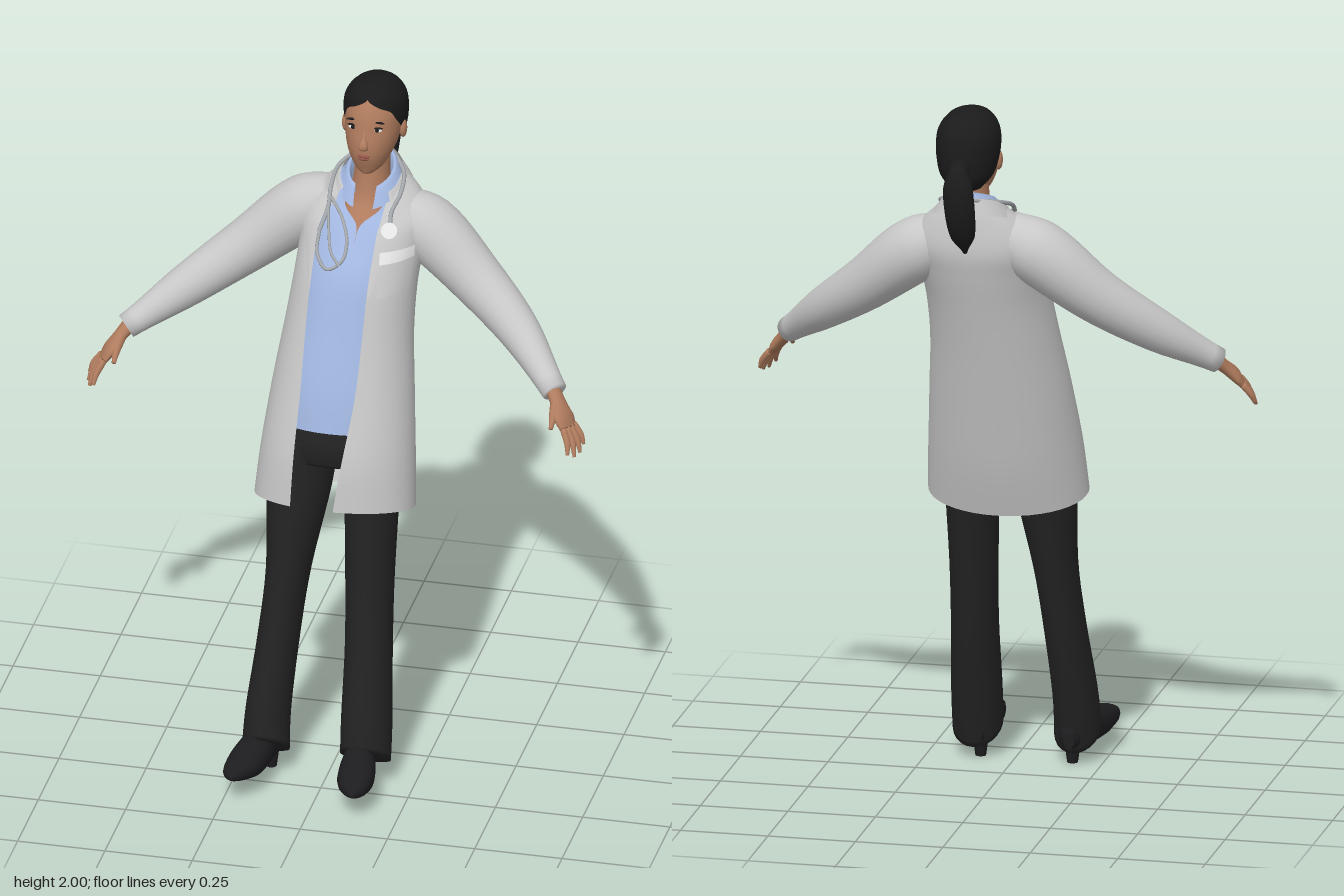
import * as THREE from 'three';

const mat = (name, color) => Object.assign(new THREE.MeshStandardMaterial({ color, side: THREE.DoubleSide }), { name });
const V = (x, y, z) => new THREE.Vector3(x, y, z);

// Surface through rows of points; closed rows wrap round
function skin(rows, closed) {
  const n = rows[0].length, cols = closed ? n : n - 1, idx = [];
  for (let i = 0; i < rows.length - 1; i++) for (let j = 0; j < cols; j++) {
    const a = i * n + j, b = i * n + (j + 1) % n;
    idx.push(a, b, b + n, a, b + n, a + n);
  }
  const g = new THREE.BufferGeometry().setFromPoints(rows.flat());
  g.setIndex(idx);
  g.computeVertexNormals();
  return g;
}

// Smooth blend between the sections of a list
function mix(S, t) {
  const i = Math.min(Math.floor(t), S.length - 2), u = t - i;
  const at = k => S[Math.max(0, Math.min(S.length - 1, k))];
  return S[i].map((p1, c) => {
    const p0 = at(i - 1)[c], p2 = at(i + 1)[c], p3 = at(i + 2)[c];
    return 0.5 * (2 * p1 + (p2 - p0) * u + (2 * p0 - 5 * p1 + 4 * p2 - p3) * u * u + (3 * p1 - p0 - 3 * p2 + p3) * u ** 3);
  });
}

// Section: [cx, y, cz, rx, rz, slope, left opening angle, right opening angle]
function loft(S, { open = false, n = 32, k = 5, cap = false } = {}) {
  const rows = [], steps = (S.length - 1) * k;
  for (let i = 0; i <= steps; i++) {
    const [cx, y, cz, rx, rz, slope = 0, aL = 0, aR = 0] = mix(S, i / k);
    const row = [];
    for (let j = 0; j < (open ? n + 1 : n); j++) {
      const a = aL + (Math.PI * 2 - aL - aR) * j / n, dz = rz * Math.cos(a);
      row.push(V(cx + rx * Math.sin(a), y + slope * dz, cz + dz));
    }
    rows.push(row);
  }
  if (cap) for (const [s, add] of [[S[0], 'unshift'], [S[S.length - 1], 'push']])
    rows[add](rows[0].map(() => V(s[0], s[1], s[2])));
  return skin(rows, !open);
}

// Point on the front of a lofted surface
function front(S, x, y, off = 0) {
  let lo = 0, hi = S.length - 1, s, dz;
  for (let i = 0; i < 24; i++) {
    const t = (lo + hi) / 2;
    s = mix(S, t);
    const q = Math.max(-0.98, Math.min(0.98, (x - s[0]) / s[3]));
    dz = s[4] * Math.sqrt(1 - q * q);
    if (s[1] + (s[5] || 0) * dz < y) lo = t; else hi = t;
  }
  return V(x, y + off * 0.4, s[2] + dz + off);
}

// Thin patch laid on a surface; rows are [x from, x to, y]
const patch = (S, list, off, n = 6) => skin(list.map(([a, b, y]) =>
  Array.from({ length: n + 1 }, (_, j) => front(S, a + (b - a) * j / n, y, off))), false);

// Rounded limb along a path, radii [across, through] at each point
function limb(pts, radii, side = V(0, 0, 1), n = 16, k = 6) {
  const c = new THREE.CatmullRomCurve3(pts.map(p => V(...p))), rows = [], last = (pts.length - 1) * k;
  for (let i = 0; i <= last; i++) {
    const t = i / last, p = c.getPoint(t), d = c.getTangent(t);
    const u = side.clone().addScaledVector(d, -side.dot(d)).normalize(), v = d.clone().cross(u);
    const [ru, rv] = mix(radii.map(r => Array.isArray(r) ? r : [r, r]), i / k);
    rows.push(Array.from({ length: n }, (_, j) => {
      const a = j / n * Math.PI * 2;
      return p.clone().addScaledVector(u, ru * Math.cos(a)).addScaledVector(v, rv * Math.sin(a));
    }));
  }
  rows.unshift(rows[0].map(() => c.getPoint(0)));
  rows.push(rows[0].map(() => c.getPoint(1)));
  return skin(rows, true);
}

export function createModel() {
  const root = new THREE.Group();
  const M = {
    skin: mat('skin', 0xb07c5e), hair: mat('black hair', 0x1b1b1c), coat: mat('coat grey', 0xc8c8c8),
    shirt: mat('shirt blue', 0xa2b7e0), trousers: mat('trouser black', 0x232324), shoe: mat('shoe black', 0x1d1d20),
    tube: mat('tube grey', 0xa4a8ac), white: mat('white', 0xe6e6e6), lips: mat('lips', 0x94574a),
  };
  const add = (name, geo, m, parent = root) => {
    const o = new THREE.Mesh(geo, m);
    o.name = name;
    parent.add(o);
    return o;
  };
  const blob = (name, m, p, s) => {
    const o = add(name, new THREE.SphereGeometry(1, 16, 12), m);
    o.position.copy(p);
    o.scale.set(...s);
    return o;
  };

  // Coat: last two numbers are the x of its two front edges
  const coat = [
    [-0.005, 0.817, 0.055, 0.228, 0.16, 0.24, 0.025, -0.1], [-0.003, 0.96, 0.024, 0.218, 0.171, 0.24, 0.045, -0.095],
    [0, 1.14, -0.028, 0.2, 0.163, 0.24, 0.068, -0.09], [0.005, 1.3, -0.075, 0.182, 0.155, 0.24, 0.075, -0.09],
    [0.015, 1.44, -0.118, 0.174, 0.148, 0.24, 0.08, -0.088], [0.025, 1.54, -0.163, 0.178, 0.132, 0.2, 0.085, -0.085],
    [0.03, 1.605, -0.19, 0.185, 0.12, 0.1, 0.09, -0.08], [0.034, 1.665, -0.2, 0.145, 0.1, -0.15, 0.105, -0.055],
    [0.037, 1.715, -0.2, 0.085, 0.085, -0.4, 0.1, -0.028],
  ].map(([cx, y, cz, rx, rz, s, l, r]) => [cx, y, cz, rx, rz, s, Math.asin((l - cx) / rx), Math.asin((cx - r) / rx)]);
  add('coat body', loft(coat, { open: true, n: 40 }), M.coat);
  add('coat collar', loft([[0.036, 1.672, -0.2, 0.122, 0.118, -0.35, 0.75, 0.75], [0.036, 1.718, -0.205, 0.09, 0.098, -0.4, 0.9, 0.9]], { open: true }), M.coat);
  add('left lapel', patch(coat, [[0.082, 0.086, 1.44], [0.086, 0.135, 1.56], [0.088, 0.165, 1.6], [0.09, 0.135, 1.605], [0.095, 0.155, 1.635], [0.1, 0.13, 1.67]], 0.009), M.coat);
  add('right lapel', patch(coat, [[-0.086, -0.09, 1.44], [-0.085, -0.125, 1.56], [-0.083, -0.145, 1.6], [-0.08, -0.11, 1.605], [-0.07, -0.13, 1.635], [-0.05, -0.08, 1.67]], 0.009), M.coat);
  add('breast pocket', patch(coat, [[0.105, 0.18, 1.44], [0.103, 0.185, 1.535]], 0.006), M.coat);
  add('pocket badge', patch(coat, [[0.105, 0.187, 1.525], [0.103, 0.187, 1.555]], 0.01), M.white);

  // Sleeves
  const radii = [0.07, 0.092, 0.077, 0.06, 0.036];
  add('left sleeve', limb([[0.1, 1.615, -0.2], [0.2, 1.568, -0.195], [0.35, 1.448, -0.15], [0.49, 1.343, -0.07], [0.625, 1.232, 0.06]], radii, undefined, 20), M.coat);
  add('right sleeve', limb([[-0.05, 1.63, -0.2], [-0.15, 1.583, -0.208], [-0.31, 1.458, -0.178], [-0.47, 1.345, -0.105], [-0.62, 1.245, -0.015]], radii, undefined, 20), M.coat);

  // Hands, built from the wrist and mirrored
  const spread = V(-0.3, 0.1, 0.9).normalize();
  for (const [name, sx, p] of [['left hand', 1, [0.625, 1.232, 0.06]], ['right hand', -1, [-0.62, 1.245, -0.015]]]) {
    const hand = new THREE.Group();
    hand.name = name;
    hand.position.set(...p);
    hand.scale.x = sx;
    root.add(hand);
    add('palm', limb([[-0.015, 0.012, -0.012], [0.012, -0.02, 0.016], [0.035, -0.05, 0.045], [0.053, -0.078, 0.06]], [[0.024, 0.022], [0.026, 0.018], [0.041, 0.017], [0.037, 0.011]], spread), M.skin, hand);
    for (let i = 0; i < 4; i++) {
      const f = i / 3, len = [0.88, 1.05, 1, 0.8][i];
      const a = V(0.053, -0.073, 0.058).addScaledVector(spread, 0.028 - 0.056 * f);
      const d = V(0.024 + 0.016 * f, -0.068, 0.044 - 0.026 * f).multiplyScalar(len);
      const b = a.clone().addScaledVector(d, 0.55).add(V(0.005, 0, 0)), e = a.clone().add(d);
      add('finger', limb([a.toArray(), b.toArray(), e.toArray()], [0.0095, 0.009, 0.005], spread, 10, 4), M.skin, hand);
    }
    add('thumb', limb([[0.01, -0.02, 0.025], [0.012, -0.04, 0.07], [0.012, -0.066, 0.1]], [0.016, 0.012, 0.006], spread, 10, 4), M.skin, hand);
  }

  // Shirt with an open neck, and its folded collar
  const shirt = [[0, 1.03, 0, 0.185, 0.15, 0.24, 0, 0], ...coat.slice(2).map((s, i) =>
    [s[0], s[1], s[2], s[3] - 0.012, s[4] - 0.012, s[5], ...Array(2).fill([0, 0, 0, 0, 0.05, 0.4, 0.7][i])])];
  add('shirt', loft(shirt, { open: true }), M.shirt);
  add('shirt collar', loft([[0.037, 1.695, -0.2, 0.088, 0.103, -0.42, 0.32, 0.32], [0.037, 1.737, -0.21, 0.063, 0.078, -0.42, 0.5, 0.5],
    [0.037, 1.695, -0.208, 0.055, 0.068, -0.42, 0.65, 0.65]], { open: true, k: 3 }), M.shirt);
  add('neck and chest', loft([[0.03, 1.55, -0.17, 0.1, 0.11, 0.1], [0.033, 1.61, -0.19, 0.08, 0.095, 0], [0.036, 1.665, -0.205, 0.06, 0.07, -0.15],
    [0.038, 1.72, -0.212, 0.05, 0.06, -0.2], [0.04, 1.8, -0.222, 0.047, 0.055, 0]]), M.skin);

  // Trousers
  add('trouser hips', loft([[-0.005, 0.93, 0.035, 0.17, 0.11, 0.24], [-0.003, 0.99, 0.025, 0.183, 0.13, 0.24], [0, 1.08, 0, 0.178, 0.135, 0.24]], { cap: true }), M.trousers);
  add('right trouser leg', loft([[-0.17, 0.085, 0.195, 0.066, 0.07, 0.75], [-0.168, 0.2, 0.17, 0.062, 0.08, 0.4], [-0.15, 0.4, 0.125, 0.058, 0.083, 0.2],
    [-0.13, 0.6, 0.09, 0.062, 0.085, 0.2], [-0.107, 0.85, 0.053, 0.09, 0.097, 0.2], [-0.09, 1, 0.03, 0.088, 0.11, 0.2]], { cap: true, n: 24 }), M.trousers);
  add('left trouser leg', loft([[0.115, 0.085, 0.195, 0.071, 0.07, 0.75], [0.113, 0.2, 0.17, 0.071, 0.08, 0.4], [0.108, 0.4, 0.125, 0.066, 0.083, 0.2],
    [0.103, 0.6, 0.09, 0.068, 0.085, 0.2], [0.099, 0.85, 0.053, 0.077, 0.097, 0.2], [0.085, 1, 0.03, 0.088, 0.11, 0.2]], { cap: true, n: 24 }), M.trousers);

  // Heeled shoes: [z, x, half width, bottom, top]
  const shoe = [[0.12, 0.1, 0.015, 0.05, 0.1], [0.15, 0.1, 0.034, 0.045, 0.13], [0.22, 0.107, 0.042, 0.036, 0.15], [0.29, 0.115, 0.051, 0.037, 0.14],
    [0.35, 0.12, 0.05, 0.048, 0.122], [0.4, 0.127, 0.033, 0.062, 0.108], [0.425, 0.13, 0.003, 0.074, 0.084]];
  for (const [side, fx, dz] of [['left', x => x, 0], ['right', x => -0.165 - (x - 0.1) * 1.9, -0.022]]) {
    const rows = [];
    for (let i = 0; i <= 24; i++) {
      const [z, x, w, b, t] = mix(shoe, i / 4);
      rows.push(Array.from({ length: 18 }, (_, j) => {
        const a = j / 18 * Math.PI * 2, s = Math.sin(a);
        return V(fx(x) + w * Math.cos(a), (b + t) / 2 + (t - b) / 2 * Math.sign(s) * Math.abs(s) ** 0.8, z + dz);
      }));
    }
    add(side + ' shoe', skin(rows, true), M.shoe);
    add(side + ' shoe heel', new THREE.CylinderGeometry(0.026, 0.015, 0.08, 14), M.shoe).position.set(fx(0.1), 0.04, 0.162 + dz / 2);
  }

  // Head and face
  const head = [[0.036, 1.743, -0.165, 0.02, 0.025], [0.037, 1.762, -0.182, 0.043, 0.05], [0.038, 1.8, -0.205, 0.064, 0.086], [0.039, 1.84, -0.222, 0.076, 0.104],
    [0.04, 1.88, -0.232, 0.081, 0.106], [0.04, 1.92, -0.235, 0.08, 0.1], [0.04, 1.96, -0.235, 0.064, 0.08], [0.04, 1.985, -0.235, 0.04, 0.045]];
  add('head', loft(head, { cap: true, n: 28 }), M.skin);
  const cx = 0.035;
  add('nose', limb([[cx, 1.89, -0.138], [cx, 1.86, -0.125], [cx, 1.839, -0.114], [cx, 1.828, -0.122]], [[0.006, 0.008], [0.009, 0.009], [0.014, 0.011], [0.012, 0.004]], V(1, 0, 0), 12, 4), M.skin);
  blob('upper lip', M.lips, front(head, cx, 1.81, -0.002), [0.019, 0.005, 0.007]);
  blob('lower lip', M.lips, front(head, cx, 1.802, -0.001), [0.016, 0.006, 0.007]);
  for (const s of [-1, 1]) {
    const x = cx + s * 0.035;
    blob('eye', M.white, front(head, x, 1.887, -0.002), [0.014, 0.006, 0.005]);
    blob('iris', M.hair, front(head, x, 1.887, 0.001), [0.006, 0.006, 0.004]);
    blob('eyelash', M.hair, front(head, x, 1.894, -0.001), [0.016, 0.0025, 0.005]);
    blob('eyebrow', M.hair, front(head, x + s * 0.003, 1.909, -0.001), [0.018, 0.003, 0.005]).rotation.z = -s * 0.1;
    blob('ear', M.skin, V(0.04 + s * 0.082, 1.852, -0.232), [0.011, 0.028, 0.017]);
  }

  // Hair drawn back into a ponytail
  add('hair', loft([[0.04, 1.785, -0.282, 0.045, 0.058, 0, 1.5, 1.5], [0.04, 1.82, -0.272, 0.074, 0.085, 0, 1.45, 1.45], [0.04, 1.86, -0.26, 0.086, 0.104, 0, 1.2, 1.2],
    [0.04, 1.9, -0.252, 0.09, 0.112, 0, 0.95, 0.95], [0.04, 1.932, -0.248, 0.088, 0.11, 0, 0.75, 0.75], [0.04, 1.953, -0.244, 0.081, 0.104, 0, 0.35, 0.35],
    [0.04, 1.972, -0.24, 0.068, 0.09, 0, 0, 0], [0.04, 1.99, -0.235, 0.045, 0.06, 0, 0, 0], [0.04, 2, -0.23, 0, 0, 0, 0, 0]], { open: true }), M.hair);
  add('ponytail', limb([[0.04, 1.855, -0.345], [0.04, 1.858, -0.378], [0.038, 1.81, -0.395], [0.034, 1.73, -0.385], [0.032, 1.66, -0.36], [0.03, 1.608, -0.338]],
    [0.022, [0.026, 0.02], [0.042, 0.026], [0.043, 0.032], [0.034, 0.026], 0.006], V(1, 0, 0)), M.hair);
  const tie = add('hair tie', new THREE.TorusGeometry(0.023, 0.007, 8, 20), M.hair);
  tie.position.set(0.04, 1.857, -0.365);

  // Stethoscope hung round the neck
  const on = (x, y, o) => front(coat, x, y, o);
  const tube = (name, pts, r = 0.006) => add(name, new THREE.TubeGeometry(new THREE.CatmullRomCurve3(pts), 60, r, 8), M.tube);
  tube('stethoscope neck tube', [on(0.125, 1.61, 0.02), on(0.12, 1.645, 0.018), V(0.135, 1.692, -0.15), V(0.125, 1.725, -0.22), V(0.036, 1.752, -0.31),
    V(-0.055, 1.725, -0.22), V(-0.063, 1.692, -0.14), on(-0.06, 1.645, 0.02), on(-0.075, 1.59, 0.022)]);
  tube('stethoscope loop', [on(-0.075, 1.59, 0.022), on(-0.072, 1.54, 0.028), on(-0.035, 1.51, 0.03), on(0.005, 1.535, 0.025), on(0.01, 1.58, 0.02), on(-0.015, 1.63, 0.018), on(-0.055, 1.665, 0.02)], 0.005);
  tube('stethoscope ear tube', [on(-0.06, 1.645, 0.02), on(-0.045, 1.59, 0.022), on(-0.03, 1.55, 0.028), on(0, 1.525, 0.036)], 0.004);
  const disc = add('stethoscope chest piece', new THREE.CylinderGeometry(0.023, 0.019, 0.018, 24), M.white);
  disc.position.copy(on(0.125, 1.607, 0.025));
  disc.rotation.x = 1.0;

  return root;
}
